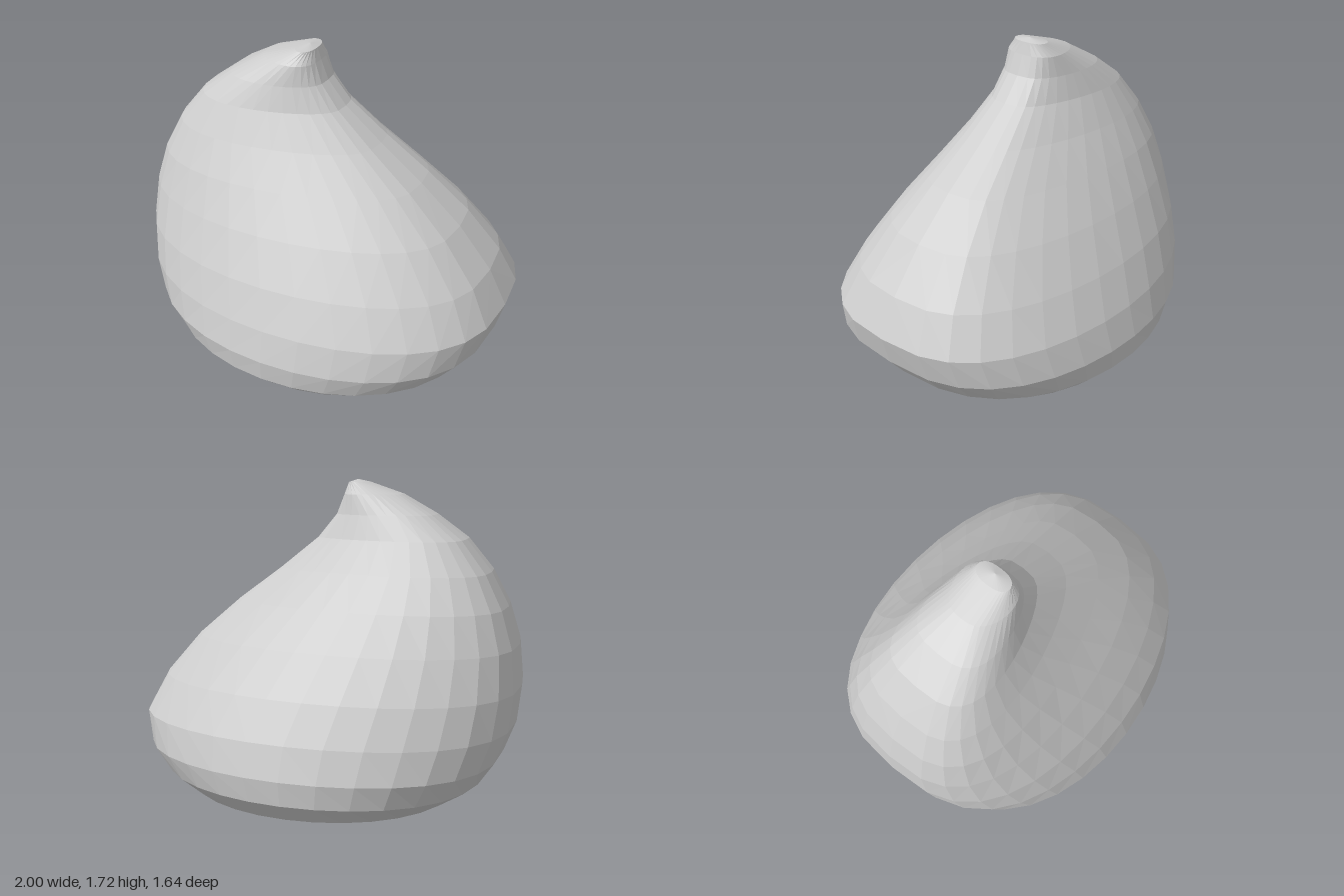
import * as THREE from 'three';

// Rings from bottom to top:
// height, left x, right x, half depth, skew (positive narrows the right side), roundness (lower is squarer)
const RINGS = [
  [0.01, -0.19, 0.2, 0.2, 0, 1],
  [0.03, -0.37, 0.38, 0.39, 0, 0.97],
  [0.06, -0.55, 0.58, 0.57, 0, 0.92],
  [0.12, -0.7, 0.75, 0.72, 0.02, 0.85],
  [0.22, -0.84, 0.87, 0.81, 0.03, 0.77],
  [0.34, -0.92, 0.96, 0.82, 0.04, 0.72],
  [0.5, -0.98, 1, 0.77, 0.05, 0.72],
  [0.69, -1, 0.9, 0.68, 0.08, 0.72],
  [0.9, -0.98, 0.72, 0.56, 0.12, 0.7],
  [1.09, -0.92, 0.5, 0.445, 0.2, 0.66],
  [1.26, -0.83, 0.27, 0.345, 0.25, 0.63],
  [1.42, -0.7, 0.07, 0.26, 0.27, 0.62],
  [1.54, -0.54, -0.03, 0.205, 0.17, 0.63],
  [1.64, -0.37, -0.07, 0.15, -0.1, 0.7],
  [1.7, -0.19, -0.09, 0.095, 0, 0.75],
];
const SIDES = 32;

// Skins the rings and closes both ends with fans
function skinRings(rings, bottom, top) {
  const positions = [];
  const index = [];
  for (const [y, left, right, depth, skew, round] of rings) {
    for (let i = 0; i < SIDES; i++) {
      const a = (i / SIDES) * Math.PI * 2;
      const c = Math.cos(a);
      const s = Math.sin(a);
      // the half-turn is not exactly zero, so snap it before the power
      const bulge = Math.abs(s) < 1e-6 ? 0 : Math.sign(s) * Math.abs(s) ** round;
      const x = (left + right) / 2 + ((right - left) / 2) * c;
      positions.push(x, y, depth * bulge * (1 - skew * c));
    }
  }
  const bottomId = rings.length * SIDES;
  const topId = bottomId + 1;
  positions.push(...bottom, ...top);

  const last = (rings.length - 1) * SIDES;
  for (let i = 0; i < SIDES; i++) {
    const j = (i + 1) % SIDES;
    index.push(bottomId, i, j);
    for (let r = 0; r < last; r += SIDES) {
      const [a, b, c, d] = [r + i, r + j, r + SIDES + j, r + SIDES + i];
      // diagonals mirror between front and back
      if (i < SIDES / 2) index.push(a, d, b, b, d, c);
      else index.push(a, d, c, a, c, b);
    }
    index.push(last + i, topId, last + j);
  }
  const geometry = new THREE.BufferGeometry();
  geometry.setAttribute('position', new THREE.Float32BufferAttribute(positions, 3));
  geometry.setIndex(index);
  geometry.computeVertexNormals();
  return geometry;
}

export function createModel() {
  const group = new THREE.Group();
  group.name = 'teardropBlob';

  // Squat body drawn up to an off-centre tip
  const body = new THREE.Mesh(
    skinRings(RINGS, [0, 0, 0], [-0.13, 1.715, 0]),
    new THREE.MeshStandardMaterial({ color: 0xcccccc, flatShading: true })
  );
  body.name = 'body';
  group.add(body);
  return group;
}
